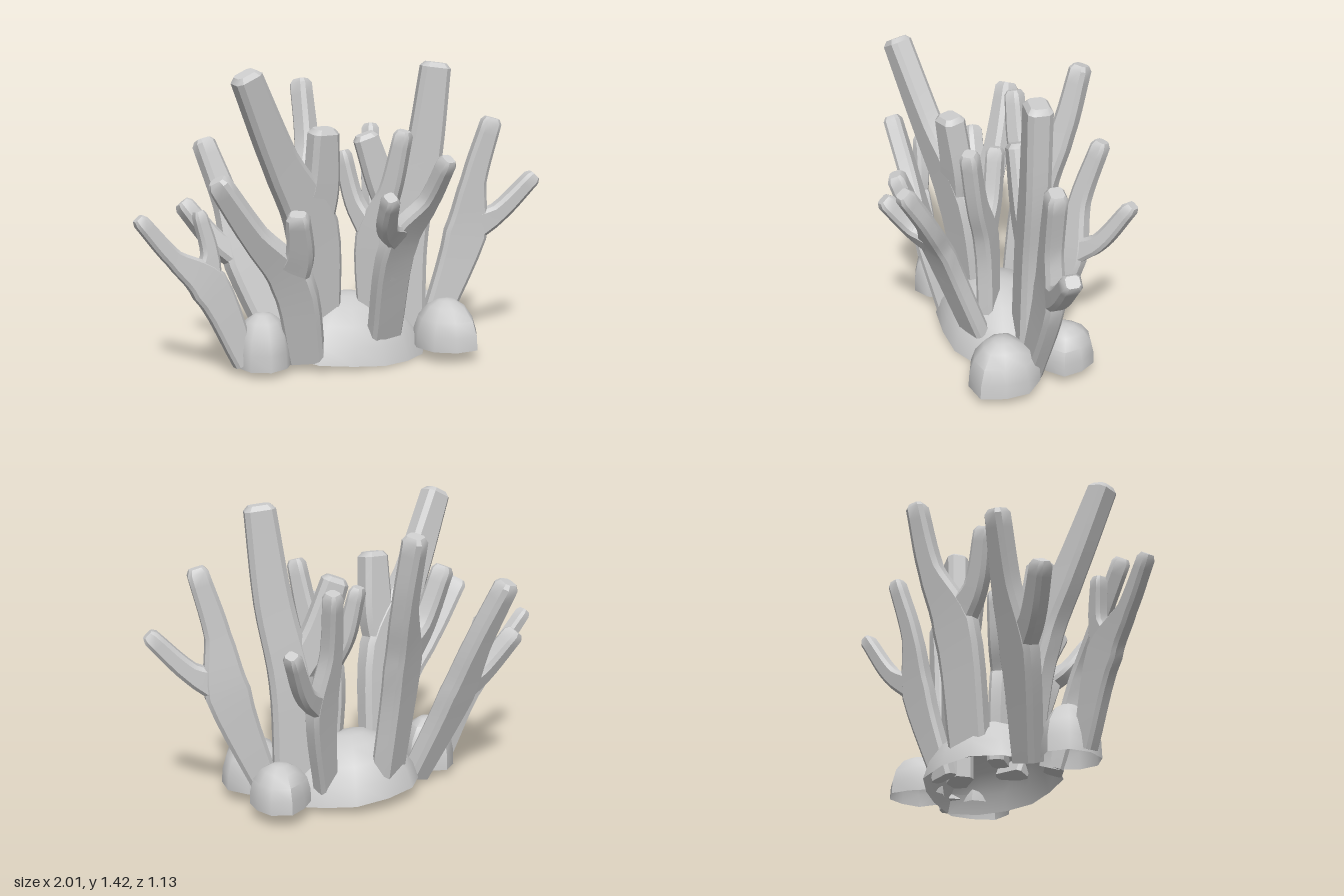
import * as THREE from 'three';
import { toCreasedNormals } from 'three/addons/utils/BufferGeometryUtils.js';

const material = new THREE.MeshStandardMaterial({ color: 0xcccccc });
const shellMaterial = new THREE.MeshStandardMaterial({ color: 0xcccccc, side: THREE.DoubleSide });
const V = (a) => new THREE.Vector3(...a);

// Sweeps a chamfered rectangle along a curve; sizes holds [width, thickness] per path point.
function sweep(points, sizes, normal) {
  const curve = new THREE.CatmullRomCurve3(points, false, 'centripetal');
  const steps = 15, pos = [], index = [];
  const ring = (p, t, w, h) => {
    const n = normal.clone().addScaledVector(t, -normal.dot(t)).normalize();
    const s = new THREE.Vector3().crossVectors(n, t);
    const c = Math.min(w, h) * 0.2, a = w / 2, b = h / 2;
    for (const [u, v] of [[a, -b + c], [a, b - c], [a - c, b], [c - a, b],
      [-a, b - c], [-a, c - b], [c - a, -b], [a - c, -b]]) {
      const q = p.clone().addScaledVector(s, u).addScaledVector(n, v);
      pos.push(q.x, q.y, q.z);
    }
  };
  for (let i = 0; i <= steps; i++) {
    const f = (i / steps) * (points.length - 1);
    const k = Math.min(Math.floor(f), points.length - 2);
    const [w, h] = [0, 1].map((d) => THREE.MathUtils.lerp(sizes[k][d], sizes[k + 1][d], f - k));
    const p = curve.getPoint(i / steps), t = curve.getTangent(i / steps);
    ring(p, t, w, h);
    if (i === steps) ring(p.clone().addScaledVector(t, 0.022), t, w * 0.7, h * 0.7); // rounded end
  }
  const rings = steps + 2;
  for (let i = 0; i < rings - 1; i++) {
    for (let j = 0; j < 8; j++) {
      const a = i * 8 + j, b = i * 8 + ((j + 1) % 8);
      index.push(a, b, b + 8, a, b + 8, a + 8);
    }
  }
  const last = (rings - 1) * 8;
  for (let j = 1; j < 7; j++) index.push(0, j + 1, j, last, last + j, last + j + 1);
  const g = new THREE.BufferGeometry();
  g.setAttribute('position', new THREE.Float32BufferAttribute(pos, 3));
  g.setIndex(index);
  return toCreasedNormals(g, 0.6);
}

// A forked coral: a flat trunk that splits into two arms.
function fork(name, { base, knee, tips, w, arms, th, bow = 0.025 }) {
  const group = new THREE.Group();
  group.name = name;
  const b = V(base), k = V(knee), ends = tips.map(V);
  const normal = new THREE.Vector3()
    .crossVectors(ends[0].clone().sub(b), ends[1].clone().sub(b)).normalize();
  ends.forEach((tip, i) => {
    const dir = tip.clone().sub(k).normalize();
    const end = tip.clone().addScaledVector(dir, -0.025);
    const apart = tip.clone().sub(ends[1 - i]).normalize();
    const mid = k.clone().lerp(end, 0.45).addScaledVector(apart, bow);
    const a = arms[i], h = Math.min(th, a * 1.15);
    // the second arm grows from inside the trunk
    const start = i ? b.clone().lerp(k, 0.55) : b;
    const sizes = i
      ? [[w[1] * 0.6, th * 0.9], [w[1] * 0.8, th * 0.97], [a * 1.25, (th + h) / 2], [a, h]]
      : [[w[0], th], [w[1], th * 1.05], [a * 1.25, (th + h) / 2], [a, h]];
    const mesh = new THREE.Mesh(sweep([start, k, mid, end], sizes, normal), material);
    mesh.name = i ? 'sideArm' : 'trunkAndArm';
    group.add(mesh);
  });
  return group;
}

// An uneven hollow dome, open underneath; a larger shoulder makes it boxier.
function dome(name, [x, y, z], [rx, h, rz], seed, sides, shoulder, tilt = [0, 0]) {
  const profile = [0, 0.3, 0.6, 0.85, 0.97, 1]
    .map((v) => new THREE.Vector2(Math.sqrt(1 - v ** shoulder), v));
  const g = new THREE.LatheGeometry(profile, sides, seed);
  const p = g.attributes.position;
  for (let i = 0; i < p.count; i++) {
    const a = Math.atan2(p.getZ(i), p.getX(i));
    const bump = 1 + 0.06 * Math.sin(3 * a + seed) + 0.04 * Math.sin(5 * a + seed * 2);
    const px = p.getX(i) * rx * bump, pz = p.getZ(i) * rz * bump;
    p.setXYZ(i, px, p.getY(i) * h + px * tilt[0] + pz * tilt[1], pz);
  }
  const mesh = new THREE.Mesh(toCreasedNormals(g, 0.85), shellMaterial);
  mesh.name = name;
  mesh.position.set(x, y, z);
  return mesh;
}

const corals = {
  farRightCoral: { base: [-0.51, 0.06, 0.05], knee: [-0.675, 0.44, 0.04],
    tips: [[-0.99, 0.77, 0.03], [-0.7, 0.78, 0]], w: [0.11, 0.18], arms: [0.065, 0.06], th: 0.07 },
  frontRightCoral: { base: [-0.22, 0.05, 0.1], knee: [-0.32, 0.45, 0.17],
    tips: [[-0.67, 0.94, 0.17], [-0.34, 0.79, 0.31]], w: [0.17, 0.2], arms: [0.1, 0.1], th: 0.085 },
  tallRightCoral: { base: [-0.12, 0.16, 0], knee: [-0.175, 0.67, 0.055],
    tips: [[-0.54, 1.4, 0.19], [-0.135, 1.14, 0.11]], w: [0.2, 0.25], arms: [0.13, 0.13], th: 0.11 },
  tallLeftCoral: { base: [0.35, 0.12, -0.04], knee: [0.37, 0.6, -0.04],
    tips: [[0.49, 1.42, 0.01], [0.155, 1.08, -0.09]], w: [0.21, 0.2], arms: [0.14, 0.12], th: 0.11 },
  farLeftCoral: { base: [0.47, 0.05, 0], knee: [0.655, 0.57, 0.03],
    tips: [[0.765, 1.15, 0.08], [0.99, 0.86, 0.13]], w: [0.12, 0.21], arms: [0.095, 0.075], th: 0.085 },
  frontCoral: { base: [0.16, 0.14, 0.14], knee: [0.15, 0.63, 0.32], bow: 0.045,
    tips: [[0.28, 1.03, 0.54], [0, 0.87, 0.52]], w: [0.17, 0.19], arms: [0.07, 0.07], th: 0.08 },
  backCoral: { base: [-0.04, 0.12, -0.22], knee: [-0.06, 0.7, -0.32], bow: 0.04,
    tips: [[0, 1.32, -0.52], [-0.28, 1.13, -0.31]], w: [0.18, 0.21], arms: [0.09, 0.08], th: 0.1 },
  middleCoral: { base: [0.14, 0.18, 0.05], knee: [0.13, 0.6, 0.06],
    tips: [[0.23, 1.12, 0.2], [0.02, 1.01, -0.05]], w: [0.13, 0.15], arms: [0.08, 0.07], th: 0.08 },
  backLeftCoral: { base: [0.26, 0.1, -0.17], knee: [0.33, 0.52, -0.28], bow: 0.035,
    tips: [[0.34, 1.09, -0.42], [0.56, 0.85, -0.46]], w: [0.11, 0.16], arms: [0.075, 0.065], th: 0.08 },
  backRightCoral: { base: [-0.28, 0.04, -0.08], knee: [-0.42, 0.47, -0.22],
    tips: [[-0.55, 1.05, -0.43], [-0.7, 0.77, -0.3]], w: [0.13, 0.18], arms: [0.1, 0.08], th: 0.1 },
};

export function createModel() {
  const model = new THREE.Group();
  model.name = 'coralCluster';
  for (const [name, spec] of Object.entries(corals)) model.add(fork(name, spec));
  // hollow mound and small rocks at the foot
  model.add(dome('mound', [0.07, 0.035, -0.045], [0.36, 0.28, 0.285], 0.6, 14, 1.5, [-0.07, -0.07]));
  model.add(dome('rightRock', [-0.415, 0.035, 0.04], [0.135, 0.25, 0.14], 2, 9, 2.8));
  model.add(dome('frontLeftRock', [0.485, 0.06, 0.165], [0.16, 0.23, 0.17], 4, 9, 2.3));
  model.add(dome('backLeftRock', [0.49, 0.065, -0.17], [0.135, 0.2, 0.135], 5.2, 9, 2.8));
  return model;
}
